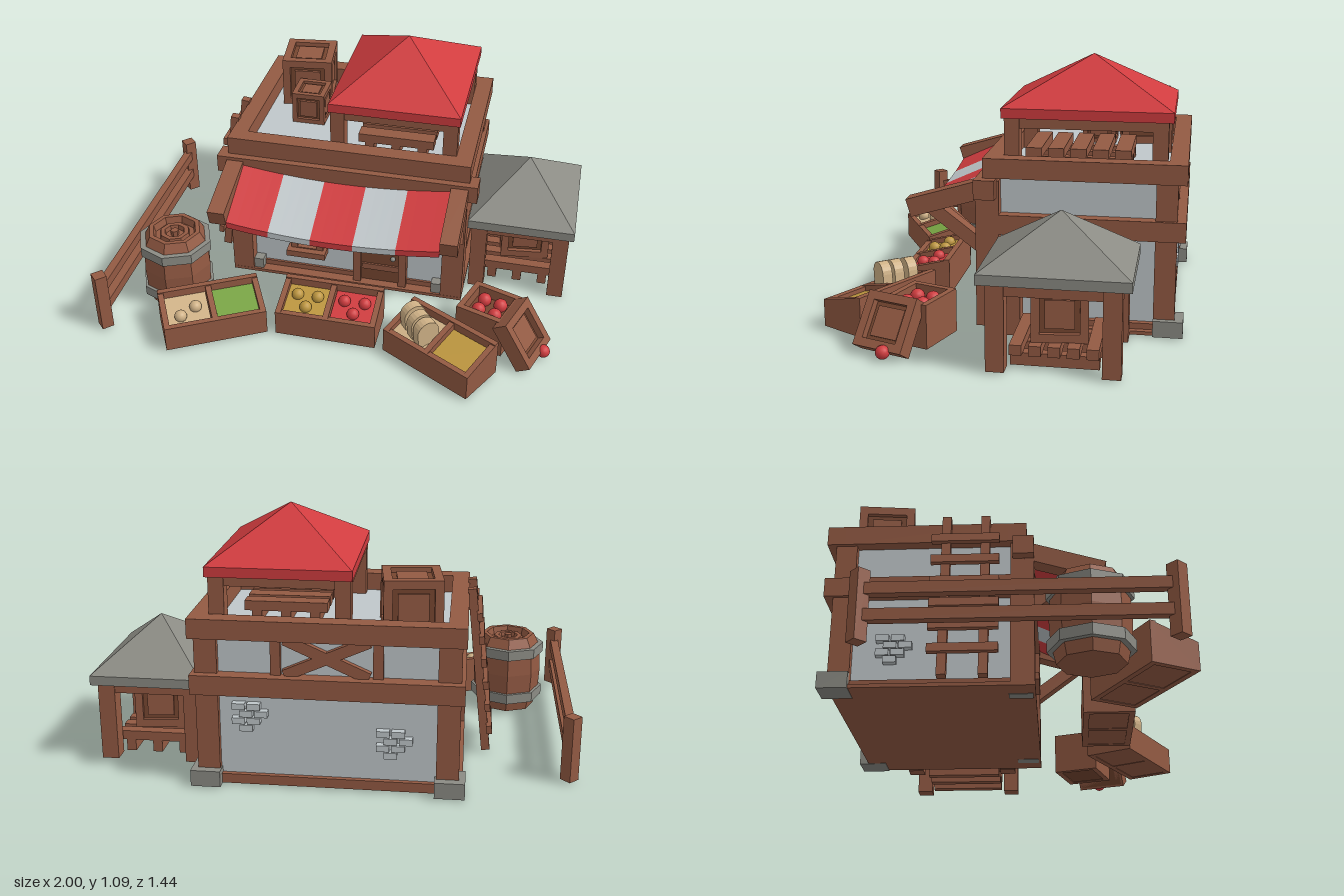
import * as THREE from 'three';

const mat = (name, color) => Object.assign(new THREE.MeshStandardMaterial({ color }), { name });
const wood = mat('wood', 0x935a43), darkWood = mat('darkWood', 0x764630), red = mat('red', 0xd03c3f);
const plaster = mat('plaster', 0xc0c7ca), stone = mat('stone', 0x8b8b84), glass = mat('glass', 0x87908f);
const yellow = mat('yellow', 0xbd963f), tan = mat('tan', 0xcfb186), green = mat('green', 0x77a343);

function add(parent, name, geo, material, pos = [0, 0, 0], rot = [0, 0, 0]) {
  const m = new THREE.Mesh(geo, material);
  m.name = name;
  m.position.set(...pos);
  m.rotation.set(...rot);
  parent.add(m);
  return m;
}
function group(parent, name, pos = [0, 0, 0], ry = 0) {
  const g = new THREE.Group();
  g.name = name;
  g.position.set(...pos);
  g.rotation.y = ry;
  parent.add(g);
  return g;
}
// box given by its limits
const box = (p, name, m, x0, x1, y0, y1, z0, z1) => add(p, name,
  new THREE.BoxGeometry(x1 - x0, y1 - y0, z1 - z0), m, [(x0 + x1) / 2, (y0 + y1) / 2, (z0 + z1) / 2]);
const flat = (geo) => {
  const g = geo.toNonIndexed();
  g.computeVertexNormals();
  return g;
};
// rectangular ring of four beams
function ring(p, name, m, x0, x1, y0, y1, z0, z1, t) {
  box(p, name, m, x0, x1, y0, y1, z0, z0 + t);
  box(p, name, m, x0, x1, y0, y1, z1 - t, z1);
  box(p, name, m, x0, x0 + t, y0, y1, z0 + t, z1 - t);
  box(p, name, m, x1 - t, x1, y0, y1, z0 + t, z1 - t);
}
function posts(p, name, x0, x1, y0, y1, z0, z1, w) {
  for (const x of [x0, x1 - w]) for (const z of [z0, z1 - w]) box(p, name, wood, x, x + w, y0, y1, z, z + w);
}
// eave slab with a pyramid on top
function roof(p, name, m, x0, x1, y0, y1, top, z0, z1) {
  box(p, name + 'Eave', m, x0, x1, y0, y1, z0, z1);
  const cone = flat(new THREE.ConeGeometry(Math.SQRT1_2, 1, 4, 1, true).rotateY(Math.PI / 4).scale(x1 - x0, top - y1, z1 - z0));
  add(p, name, cone, m, [(x0 + x1) / 2, (y1 + top) / 2, (z0 + z1) / 2]);
}
// closed crate with framed, recessed faces
function crate(p, s, pos, ry) {
  const g = group(p, 'crate', pos, ry), h = s / 2, t = s * 0.15, i = h - s * 0.09;
  box(g, 'cratePanels', darkWood, -i, i, s * 0.05, s - s * 0.09, -i, i);
  ring(g, 'crateRim', wood, -h, h, 0, t, -h, h, t);
  ring(g, 'crateRim', wood, -h, h, s - t, s, -h, h, t);
  posts(g, 'crateCorner', -h, h, t, s - t, -h, h, t);
  const k = h * 0.52;
  box(g, 'crateLid', wood, -k, k, s * 0.8, s * 0.96, -k, k);
  for (const e of [-1, 1]) {
    box(g, 'crateSidePanel', wood, -k, k, h - k, h + k, e * (i + 0.006) - 0.006, e * (i + 0.006) + 0.006);
    box(g, 'crateSidePanel', wood, e * (i + 0.006) - 0.006, e * (i + 0.006) + 0.006, h - k, h + k, -k, k);
  }
}
function pallet(p, x0, x1, y, z0, z1) {
  const g = group(p, 'pallet');
  for (const f of [0, 0.5, 1]) {
    const x = x0 + 0.03 + f * (x1 - x0 - 0.1);
    box(g, 'palletRunner', wood, x, x + 0.04, y, y + 0.05, z0, z1);
  }
  const step = (z1 - z0 + 0.025) / 5;
  for (let i = 0; i < 5; i++) box(g, 'palletPlank', wood, x0, x1, y + 0.05, y + 0.09, z0 + i * step, z0 + i * step + step - 0.025);
}
// market bin with sloping sides, split in two compartments
function bin(p, pos, ry, left, right) {
  const g = group(p, 'marketBin', pos, ry), w = 0.22, d = 0.105, t = 0.025, lo = 0.115, hi = 0.165;
  const s = new THREE.Shape([[-d, 0], [d, 0], [d, hi], [-d, lo]].map((a) => new THREE.Vector2(...a)));
  const side = new THREE.ExtrudeGeometry(s, { depth: t, bevelEnabled: false }).rotateY(Math.PI / 2);
  for (const x of [-w, -t / 2, w - t]) add(g, 'binSide', side, wood, [x, 0, 0]);
  box(g, 'binFront', wood, -w, w, 0, lo, d - t, d);
  box(g, 'binBack', wood, -w, w, 0, hi, -d, -d + t);
  box(g, 'binFloor', wood, -w + 0.01, w - 0.01, 0.002, 0.03, -d + 0.01, d - 0.01);
  const fill = new THREE.BoxGeometry(0.19, 0.06, 0.17);
  add(g, 'binFilling', fill, left, [-0.11, 0.085, 0], [0.23, 0, 0]);
  add(g, 'binFilling', fill, right, [0.11, 0.085, 0], [0.23, 0, 0]);
  return g;
}
const ball = (p, name, m, x, y, z, r = 0.027) => add(p, name, new THREE.IcosahedronGeometry(r, 2), m, [x, y, z]);
function arch(w, h, S = THREE.Shape) {
  const s = new S();
  s.moveTo(-w / 2, 0);
  s.lineTo(w / 2, 0);
  s.lineTo(w / 2, h - w / 2);
  s.absarc(0, h - w / 2, w / 2, 0, Math.PI, false);
  s.lineTo(-w / 2, 0);
  return s;
}
const slab = (s, depth) => new THREE.ExtrudeGeometry(s, { depth, bevelEnabled: false, curveSegments: 5 });
function archFrame(w, h, t, depth, bottom) {
  const s = arch(w, h), hole = arch(w - 2 * t, h - t - bottom, THREE.Path);
  s.holes.push(new THREE.Path(hole.getPoints(5).map((v) => v.add(new THREE.Vector2(0, bottom)))));
  return slab(s, depth);
}

export function createModel() {
  const model = new THREE.Group();
  model.name = 'marketHouse';

  // house body
  const house = group(model, 'house');
  box(house, 'walls', plaster, -0.485, 0.485, 0.02, 0.635, -0.67, 0.05);
  box(house, 'floor', wood, -0.535, 0.535, 0.01, 0.025, -0.69, 0.105);
  ring(house, 'baseBeam', wood, -0.51, 0.51, 0.012, 0.05, -0.69, 0.06, 0.06);
  ring(house, 'middleBeam', wood, -0.535, 0.535, 0.4, 0.48, -0.73, 0.065, 0.07);
  ring(house, 'parapet', wood, -0.537, 0.537, 0.63, 0.71, -0.73, 0.075, 0.073);
  box(house, 'frontBeam', wood, -0.58, 0.575, 0.55, 0.629, 0.02, 0.105);
  for (const e of [-1, 1]) {
    box(house, 'frontPost', wood, e * 0.487 - 0.048, e * 0.487 + 0.048, 0.01, 0.62, 0.01, 0.104);
    box(house, 'backPost', wood, e * 0.475 - 0.045, e * 0.475 + 0.045, 0.01, 0.64, -0.695, -0.61);
    box(house, 'backFooting', stone, e * 0.485 - 0.06, e * 0.485 + 0.06, 0.008, 0.075, -0.73, -0.61);
    box(house, 'frontFooting', stone, e * 0.42 - 0.025, e * 0.42 + 0.025, 0.008, 0.075, 0.0, 0.095);
    add(house, 'backBrace', new THREE.BoxGeometry(0.36, 0.045, 0.03), wood, [0, 0.555, -0.68], [0, 0, e * 0.42]);
    box(house, 'backStud', wood, e * 0.2 - 0.02, e * 0.2 + 0.02, 0.48, 0.63, -0.69, -0.66);
  }

  // patches of bare bricks
  function bricks(pos, ry) {
    const g = group(house, 'bricks', pos, ry);
    for (const [x, y] of [[-0.03, 0.045], [0.03, 0.045], [0, 0.015], [0.06, 0.015], [-0.03, -0.015], [0.03, -0.015], [0, -0.045]])
      box(g, 'brick', plaster, x - 0.026, x + 0.026, y - 0.013, y + 0.013, -0.01, 0.03);
  }
  bricks([0.32, 0.3, -0.67], Math.PI);
  bricks([-0.25, 0.21, -0.67], Math.PI);
  bricks([-0.485, 0.18, -0.46], -Math.PI / 2);

  // door and window
  const door = group(house, 'door', [0.155, 0.02, 0.045]);
  add(door, 'doorFrame', archFrame(0.245, 0.335, 0.035, 0.045, 0), wood);
  add(door, 'doorLeaf', slab(arch(0.18, 0.3), 0.02), darkWood);
  for (const y of [0.07, 0.2]) box(door, 'doorStrap', wood, -0.085, 0.085, y, y + 0.03, 0.02, 0.029);
  ball(door, 'doorKnob', stone, 0.06, 0.15, 0.035, 0.012);
  const win = group(house, 'window', [-0.185, 0.15, 0.045]);
  add(win, 'windowFrame', archFrame(0.15, 0.185, 0.03, 0.04, 0.02), wood);
  add(win, 'windowPane', slab(arch(0.1, 0.16), 0.012), glass);
  box(win, 'windowSill', wood, -0.09, 0.09, -0.015, 0.015, 0, 0.07);

  // awning, sagging between two arms
  const awning = group(model, 'awning');
  for (const e of [-1, 1]) {
    add(awning, 'awningArm', new THREE.BoxGeometry(0.075, 0.075, 0.33), wood, [e * 0.498, 0.54, 0.222], [0.29, 0, 0]);
    add(awning, 'awningStrut', new THREE.BoxGeometry(0.06, 0.055, 0.28), wood, [e * 0.498, 0.425, 0.19], [-0.65, 0, 0]);
  }
  for (let i = 0; i < 5; i++) {
    const g = new THREE.BoxGeometry(0.184, 0.028, 0.27, 4, 1, 1).translate(-0.368 + i * 0.184, 0, 0.237);
    const a = g.attributes.position;
    for (let k = 0; k < a.count; k++) {
      const x = a.getX(k), z = a.getZ(k);
      a.setY(k, a.getY(k) + 0.55 - (z - 0.1) * 0.46 + 0.035 * (x / 0.46) ** 2);
    }
    add(awning, 'awningStripe', flat(g), i % 2 ? plaster : red);
  }

  // roof terrace: tower, crates, pallet
  const tower = group(model, 'tower');
  posts(tower, 'towerPost', -0.09, 0.465, 0.62, 0.87, -0.65, 0, 0.062);
  ring(tower, 'towerBeam', wood, -0.085, 0.46, 0.82, 0.862, -0.645, -0.005, 0.05);
  roof(tower, 'towerRoof', red, -0.097, 0.475, 0.86, 0.9, 1.09, -0.67, 0.012);
  pallet(model, 0.02, 0.355, 0.63, -0.5, -0.07);
  crate(model, 0.23, [-0.315, 0.633, -0.525], 0.12);
  crate(model, 0.15, [-0.255, 0.633, -0.32], 0);

  // side shed
  const shed = group(model, 'shed');
  posts(shed, 'shedPost', 0.55, 0.98, 0.01, 0.355, -0.52, -0.02, 0.07);
  ring(shed, 'shedBeam', wood, 0.56, 0.975, 0.305, 0.355, -0.515, -0.025, 0.055);
  roof(shed, 'shedRoof', stone, 0.535, 1, 0.35, 0.39, 0.58, -0.555, 0.012);
  pallet(shed, 0.6, 0.93, 0.01, -0.435, -0.1);
  crate(shed, 0.215, [0.775, 0.1, -0.27], 0.12);

  // ladder on the left wall
  const ladder = group(model, 'ladder', [-0.588, 0.37, -0.165]);
  ladder.rotation.z = -0.11;
  for (const z of [-0.078, 0.078]) box(ladder, 'ladderRail', wood, -0.018, 0.018, -0.36, 0.36, z - 0.018, z + 0.018);
  for (let i = 0; i < 6; i++) {
    const y = -0.27 + i * 0.1;
    box(ladder, 'ladderRung', wood, -0.035, -0.012, y, y + 0.035, -0.135, 0.135);
  }

  // barrel
  const barrel = group(model, 'barrel', [-0.725, 0, 0.315]);
  const lathe = (pts) => flat(new THREE.LatheGeometry(pts.map((p) => new THREE.Vector2(...p)), 8));
  add(barrel, 'barrelBody', lathe([[0, 0.01], [0.13, 0.01], [0.15, 0.1], [0.155, 0.19], [0.15, 0.27],
    [0.14, 0.315], [0.118, 0.357], [0.098, 0.357], [0.09, 0.325], [0, 0.325]]), wood);
  add(barrel, 'barrelLidRing', lathe([[0.07, 0.32], [0.065, 0.345], [0.045, 0.345], [0.04, 0.32]]), wood);
  add(barrel, 'barrelPlug', flat(new THREE.CylinderGeometry(0.018, 0.018, 0.03, 6)), wood, [0, 0.335, 0]);
  for (const y of [0.08, 0.292]) add(barrel, 'barrelBand', flat(new THREE.CylinderGeometry(0.164, 0.164, 0.045, 8)), stone, [0, y, 0]);

  // fence
  const fence = group(model, 'fence', [-0.963, 0, 0]);
  for (const z of [-0.5, 0.612]) add(fence, 'fencePost', new THREE.BoxGeometry(0.052, 0.275, 0.052), wood, [0, 0.147, z], [0, Math.PI / 4, 0]);
  for (const y of [0.085, 0.187]) box(fence, 'fenceRail', wood, -0.018, 0.018, y, y + 0.045, -0.5, 0.612);

  // market bins with their goods
  const eggs = bin(model, [-0.5, 0.01, 0.515], 0.5, tan, green);
  ball(eggs, 'egg', tan, -0.14, 0.12, 0.04);
  ball(eggs, 'egg', tan, -0.07, 0.125, 0.0);
  const fruit = bin(model, [0, 0.01, 0.395], 0, yellow, red);
  for (const [x, z] of [[-0.15, -0.02], [-0.1, 0.04], [-0.06, -0.02]]) {
    ball(fruit, 'lemon', yellow, x, 0.125 - z * 0.23, z);
    ball(fruit, 'apple', red, x + 0.21, 0.125 - z * 0.23, z);
  }
  const bread = bin(model, [0.5, 0.01, 0.515], -0.5, tan, yellow);
  for (const [x, z] of [[-0.15, -0.025], [-0.095, 0.0], [-0.045, 0.02]])
    add(bread, 'breadLoaf', slab(arch(0.1, 0.12), 0.042), tan, [x - 0.02, 0.1, z], [0, 1.2, 0.12]);

  // open crate of apples, tipped crate beside it
  const open = group(model, 'appleCrate', [0.68, 0.01, 0.3], -0.33);
  ring(open, 'appleCrateSide', wood, -0.11, 0.11, 0, 0.18, -0.1, 0.1, 0.025);
  box(open, 'appleCrateFilling', darkWood, -0.09, 0.09, 0.003, 0.13, -0.08, 0.08);
  for (const [x, z] of [[-0.04, -0.035], [0.035, -0.035], [-0.035, 0.035], [0.04, 0.035]]) ball(open, 'apple', red, x, 0.15, z, 0.03);
  const tipped = group(group(model, 'tippedCrate', [0.83, 0.113, 0.385], -0.33), 'tippedCrateBody');
  tipped.rotation.z = 0.6;
  box(tipped, 'tippedCrateBase', darkWood, -0.035, 0.005, -0.1, 0.1, -0.1, 0.1);
  for (const e of [-1, 1]) {
    box(tipped, 'tippedCrateSide', wood, -0.035, 0.035, e * 0.093 - 0.017, e * 0.093 + 0.017, -0.11, 0.11);
    box(tipped, 'tippedCrateSide', wood, -0.035, 0.035, -0.076, 0.076, e * 0.093 - 0.017, e * 0.093 + 0.017);
  }
  box(tipped, 'tippedCratePanel', wood, 0.004, 0.013, -0.06, 0.06, -0.06, 0.06);
  ball(model, 'looseApple', red, 0.927, 0.036, 0.385, 0.028);
  return model;
}
